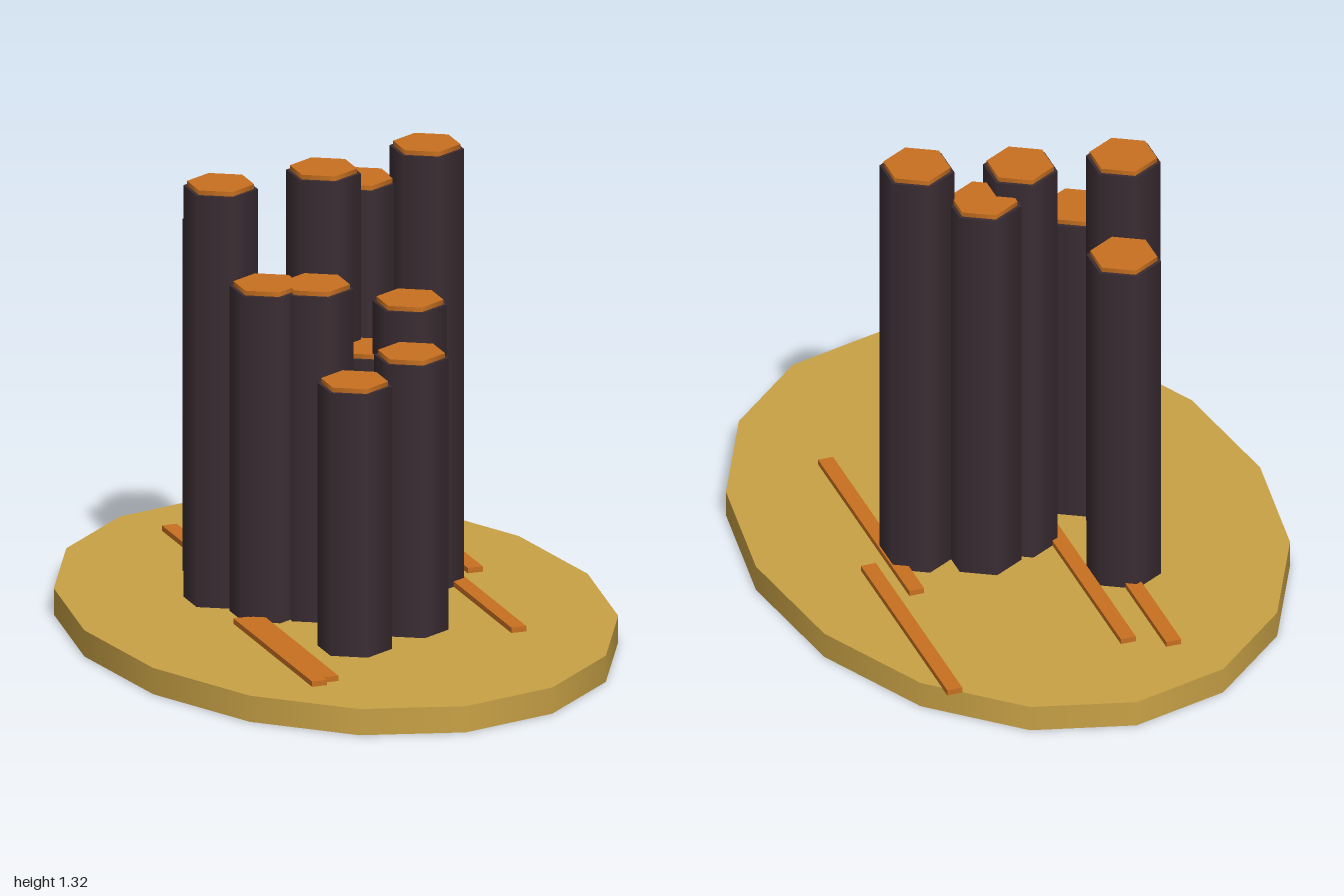
import * as THREE from 'three';

const mat = (name, color) => {
  const m = new THREE.MeshStandardMaterial({ color });
  m.name = name;
  return m;
};

export function createModel() {
  const group = new THREE.Group();
  const sand = mat('sand', 0xc9a246);
  const basalt = mat('basalt', 0x3b2d33);
  const rust = mat('rust', 0xc87020);

  const add = (name, geometry, material, x, y, z) => {
    const mesh = new THREE.Mesh(geometry, material);
    mesh.name = name;
    mesh.position.set(x, y, z);
    group.add(mesh);
    return mesh;
  };

  // Oval sixteen-sided base, a hair above the column feet that show underneath
  const baseH = 0.074;
  add('base', new THREE.CylinderGeometry(1, 1, baseH, 16), sand, 0, 0.001 + baseH / 2, 0)
    .scale.set(0.725, 1, 1);

  // Hexagonal columns: x, z, height of the dark shaft
  const columns = [
    [-0.2, -0.36, 1.07], [-0.28, -0.14, 1.238], [-0.208, 0.025, 0.995],
    [-0.083, 0.07, 0.995], [0.007, -0.115, 1.258], [0.13, -0.165, 1.203],
    [0.107, 0, 0.775], [0.17, 0.115, 0.937], [0.295, -0.09, 1.303],
    [0.11, 0.287, 0.843], [-0.095, 0.397, 0.818],
  ];
  const capH = 0.013;
  const capGeometry = new THREE.CylinderGeometry(0.092, 0.092, capH, 6);
  for (const [x, z, h] of columns) {
    add('column', new THREE.CylinderGeometry(0.102, 0.102, h, 6), basalt, x, h / 2, z);
    add('columnCap', capGeometry, rust, x, h + capH / 2, z);
  }

  // Flat strips lying on the base: x, back z, front z
  const strips = [
    [-0.194, -0.765, -0.2], [-0.084, -0.71, -0.06], [0.445, -0.79, -0.117],
    [0.367, -0.283, 0.427], [-0.306, 0.085, 0.692], [-0.264, 0.09, 0.667],
  ];
  for (const [x, z0, z1] of strips) {
    add('strip', new THREE.BoxGeometry(0.043, 0.016, z1 - z0), rust, x, 0.082, (z0 + z1) / 2);
  }

  return group;
}
